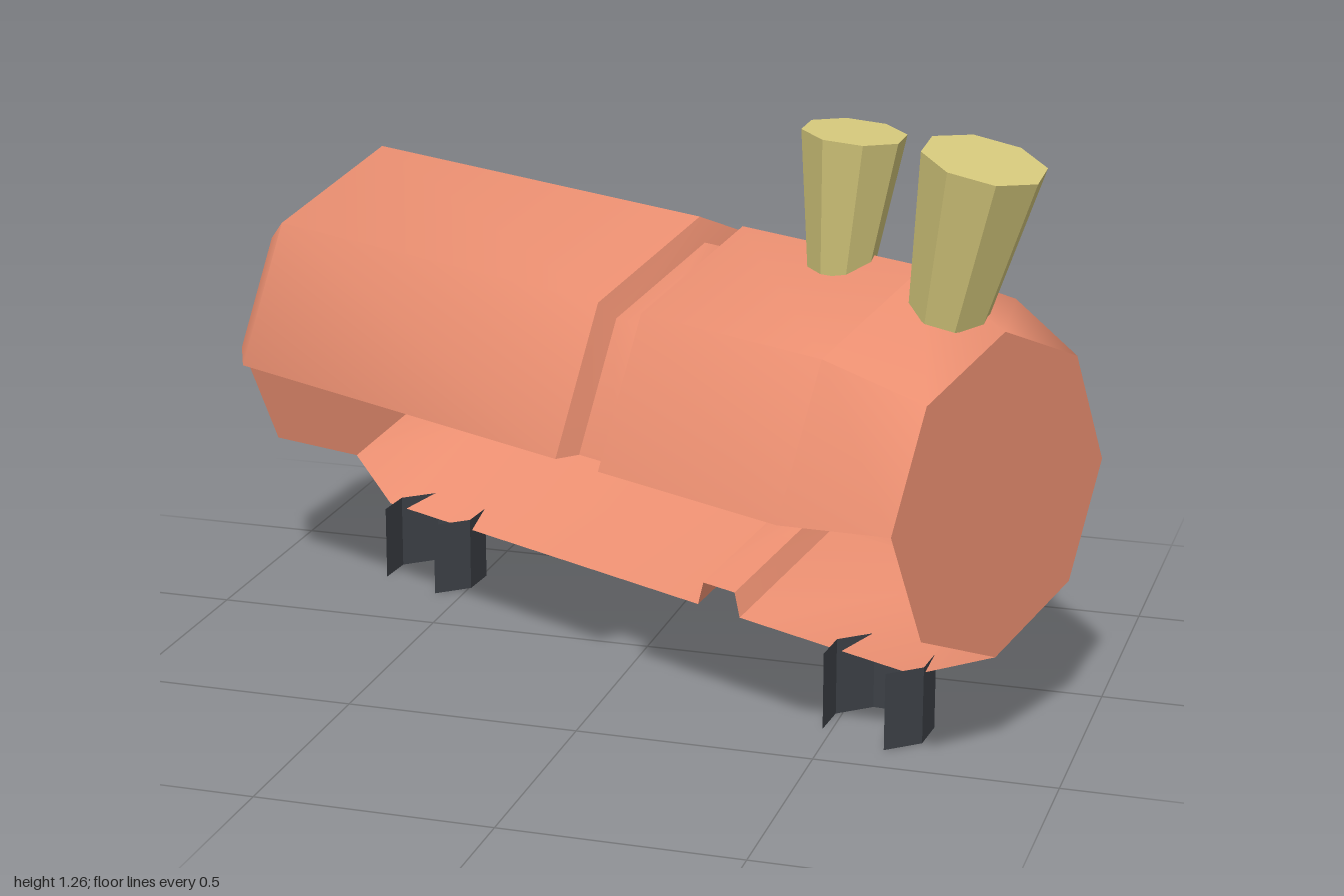
import * as THREE from 'three';
import { toCreasedNormals } from 'three/addons/utils/BufferGeometryUtils.js';

const AXIS_Y = 0.565;

// Point k of an octagonal cross-section: k = 0 is the top, k = 2 the front
const rim = (u, r, k) => {
  const a = (k * Math.PI) / 4;
  return [u, AXIS_Y + r * Math.cos(a), r * Math.sin(a)];
};

// Surface from a list of polygons, each split into a fan of triangles
function polygonMesh(name, polygons, material) {
  const positions = [];
  for (const p of polygons) {
    for (let i = 1; i < p.length - 1; i++) positions.push(...p[0], ...p[i], ...p[i + 1]);
  }
  const geometry = new THREE.BufferGeometry();
  geometry.setAttribute('position', new THREE.Float32BufferAttribute(positions, 3));
  geometry.computeVertexNormals();
  const mesh = new THREE.Mesh(toCreasedNormals(geometry, 0.85), material);
  mesh.name = name;
  return mesh;
}

// Quads joining two open rows of points
const strip = (a, b) => a.slice(1).map((p, i) => [a[i], p, b[i + 1], b[i]]);

// Chimney running from a narrow base to a wide top
function chimney(name, base, top, rBase, rTop, material) {
  const from = new THREE.Vector3(...base);
  const dir = new THREE.Vector3(...top).sub(from);
  const geometry = new THREE.CylinderGeometry(rTop, rBase, dir.length(), 8);
  geometry.rotateY(Math.PI / 8);
  const mesh = new THREE.Mesh(geometry, material);
  mesh.position.copy(from).addScaledVector(dir, 0.5);
  mesh.quaternion.setFromUnitVectors(new THREE.Vector3(0, 1, 0), dir.normalize());
  mesh.name = name;
  return mesh;
}

export function createModel() {
  const shell = new THREE.MeshStandardMaterial({ color: 0xe98e70, side: THREE.DoubleSide });
  const dark = new THREE.MeshStandardMaterial({ color: 0x3c4046, side: THREE.DoubleSide, flatShading: true });
  const straw = new THREE.MeshStandardMaterial({ color: 0xd6c97c, flatShading: true });

  const model = new THREE.Group();
  model.name = 'barrelMachine';

  // The barrel lies along its own x axis and is turned on the ground
  const barrel = new THREE.Group();
  barrel.name = 'barrel';
  barrel.rotation.y = THREE.MathUtils.degToRad(-26.5);
  model.add(barrel);

  // Profile along the barrel: end bevel, tank, neck groove, head, end bevel
  const profile = [
    [-0.945, 0.335], [-0.83, 0.428], [0.15, 0.428], [0.165, 0.375],
    [0.255, 0.375], [0.27, 0.428], [0.745, 0.428], [0.95, 0.335],
  ];
  const tankStart = profile[1];
  const tankEnd = profile[2];

  // Outer panels; the lower front is open, the tank's upper back has the hatch
  const panels = [];
  for (let i = 0; i < profile.length - 1; i++) {
    for (let k = 0; k < 8; k++) {
      const openBelow = k === 2 || k === 3;
      const hatch = i === 1 && k >= 6;
      if (openBelow || hatch) continue;
      const a = [rim(...profile[i], k), rim(...profile[i], k + 1)];
      const b = [rim(...profile[i + 1], k), rim(...profile[i + 1], k + 1)];
      panels.push(...strip(a, b));
    }
  }
  barrel.add(polygonMesh('barrelShell', panels, shell));

  // End caps
  const ring = [0, 1, 2, 3, 4, 5, 6, 7];
  const [firstEnd, lastEnd] = [profile[0], profile[profile.length - 1]];
  barrel.add(polygonMesh('endCaps', [
    ring.map((k) => rim(...lastEnd, k)),
    ring.map((k) => rim(...firstEnd, 8 - k)),
  ], shell));

  // Hatch rim and the wedge-shaped pocket behind it
  const inner = (u) => ({
    low: [u, 0.61, -0.36], mid: [u, 0.84, -0.28], top: [u, 0.97, -0.03], deep: [u, 0.45, 0.1],
  });
  const l = inner(-0.715);
  const r = inner(0.045);
  const outerL = [6, 7, 8].map((k) => rim(...tankStart, k));
  const outerR = [6, 7, 8].map((k) => rim(...tankEnd, k));
  barrel.add(polygonMesh('hatchRim', [
    ...strip(outerL, [l.low, l.mid, l.top]),
    ...strip([r.low, r.mid, r.top], outerR),
    ...strip([outerL[0], l.low], [outerR[0], r.low]),
    ...strip([l.top, outerL[2]], [r.top, outerR[2]]),
  ], shell));
  barrel.add(polygonMesh('hatchPocket', [
    ...strip([l.low, l.deep, l.top], [r.low, r.deep, r.top]),
    [l.top, l.deep, l.low, l.mid],
    [r.mid, r.low, r.deep, r.top],
  ], shell));

  // Feet: octagonal tubes with the two front sides left open
  for (const side of [-1, 1]) {
    const foot = new THREE.Mesh(
      new THREE.CylinderGeometry(0.115, 0.115, 0.165, 6, 1, true, Math.PI / 4, Math.PI * 1.5),
      dark
    );
    foot.position.set(side * 0.664, 0.0825, 0.01);
    foot.name = side < 0 ? 'tankFoot' : 'headFoot';
    barrel.add(foot);
  }

  // Two flared chimneys on the head
  model.add(chimney('smallChimney', [0.485, 0.96, 0.27], [0.51, 1.24, 0.275], 0.067, 0.106, straw));
  model.add(chimney('largeChimney', [0.73, 0.915, 0.39], [0.8, 1.235, 0.425], 0.08, 0.125, straw));

  return model;
}
